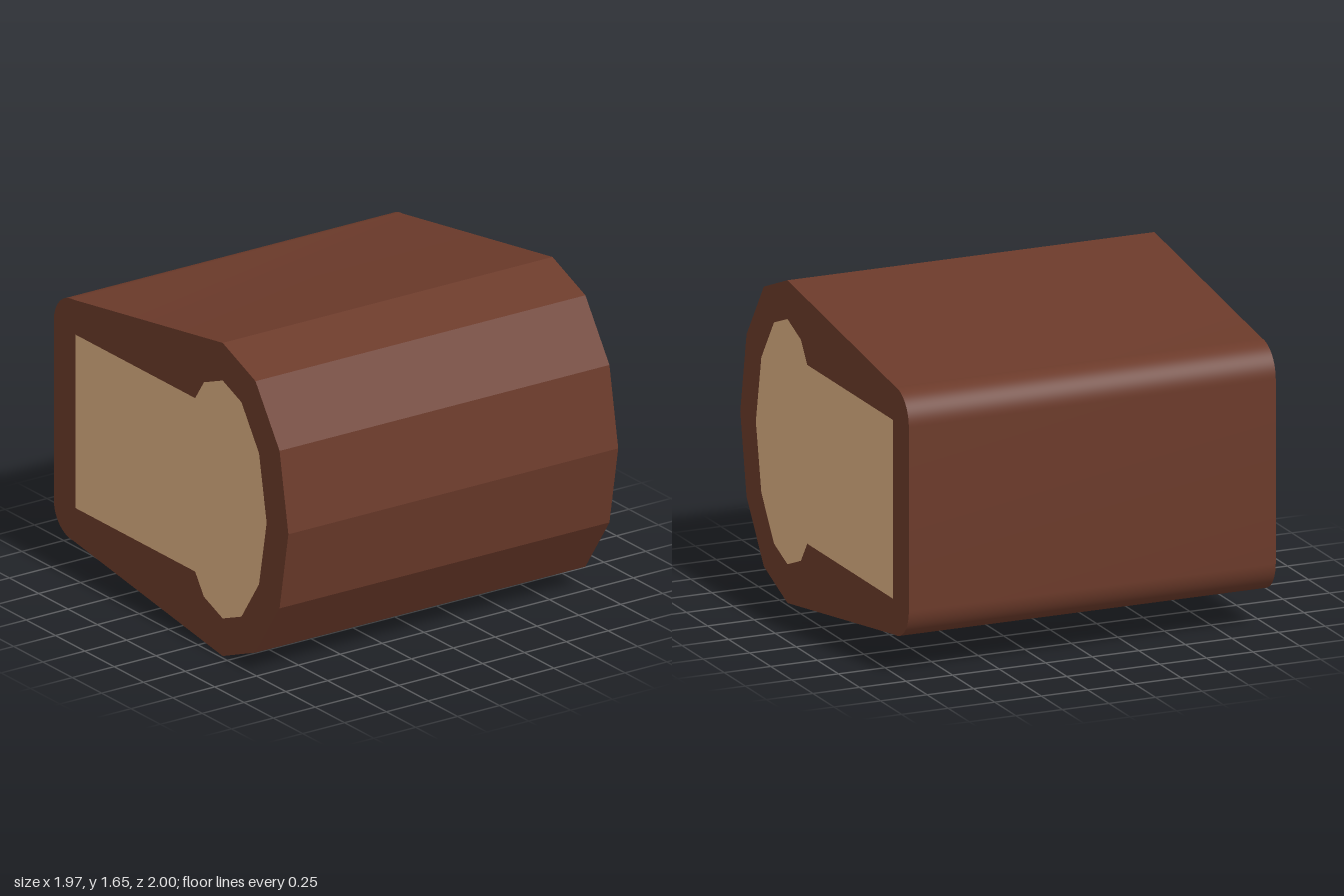
import * as THREE from 'three';
import { toCreasedNormals } from 'three/addons/utils/BufferGeometryUtils.js';

const MID = 0.83;      // height of the symmetry line
const WIDTH = 1.97;

// Extrude a side profile (drawn with x = -z, y = up) along the model's x axis
function extrudeAcross(shape, name, color) {
  const geo = new THREE.ExtrudeGeometry(shape, { depth: WIDTH, bevelEnabled: false, curveSegments: 10 });
  geo.translate(0, 0, -WIDTH / 2);
  geo.rotateY(Math.PI / 2);
  const mesh = new THREE.Mesh(toCreasedNormals(geo, 0.26), new THREE.MeshStandardMaterial({ color }));
  mesh.name = name;
  return mesh;
}

// Close a lower-half outline by mirroring it about the middle height
function mirrored(half) {
  const upper = half.filter(([, h]) => h > 0).map(([z, h]) => [z, -h]).reverse();
  return [...half, ...upper].map(([z, h]) => new THREE.Vector2(-z, MID - h));
}

export function createModel() {
  const group = new THREE.Group();
  group.name = 'filledRoll';

  // Outer shell: faceted front, tapering top and bottom, rounded back corners
  const front = [[1, 0], [0.925, 0.415], [0.72, 0.715], [0.44, 0.825]];
  const r = 0.165, backZ = 0.835, cornerH = 0.47;
  const shell = new THREE.Shape();
  front.forEach(([z, h], i) => (i ? shell.lineTo(-z, MID - h) : shell.moveTo(-z, MID)));
  shell.absarc(backZ, MID - cornerH, r, -Math.PI / 2, 0, false);
  shell.absarc(backZ, MID + cornerH, r, 0, Math.PI / 2, false);
  front.slice(1).reverse().forEach(([z, h]) => shell.lineTo(-z, MID + h));
  shell.closePath();

  // Filling: rounded front bulb joined to a straight block
  const core = mirrored([
    [0.815, 0], [0.75, 0.345], [0.6, 0.565], [0.44, 0.627],
    [0.28, 0.565], [0.205, 0.457], [-0.815, 0.457],
  ]);
  shell.holes.push(new THREE.Path(core));

  group.add(extrudeAcross(shell, 'shell', 0x6b3a2a));
  group.add(extrudeAcross(new THREE.Shape(core), 'filling', 0xdcb082));
  return group;
}
